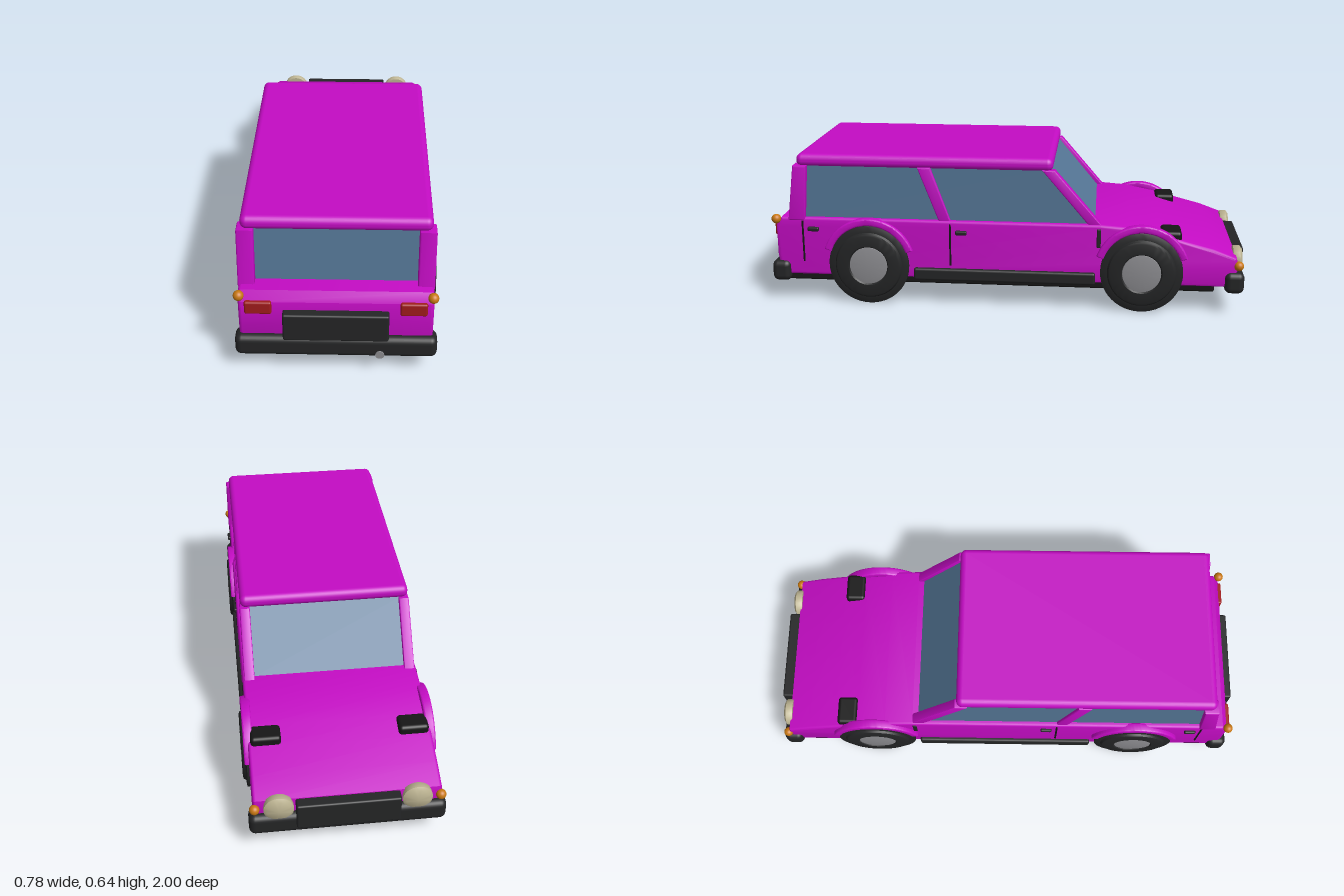
import * as THREE from 'three';
import { RoundedBoxGeometry } from 'three/addons/geometries/RoundedBoxGeometry.js';
import { toCreasedNormals } from 'three/addons/utils/BufferGeometryUtils.js';

const material = (color) => new THREE.MeshStandardMaterial({ color });
const points = (pairs) => pairs.map(([a, b]) => new THREE.Vector2(a, b));

export function createModel() {
  const car = new THREE.Group();
  car.name = 'car';
  const paint = material(0xc40cc4), black = material(0x242526), under = material(0x161616);
  const glass = material(0x557797), red = material(0xa01c1c), orange = material(0xc87812);
  const cream = material(0xbdb492), grey = material(0x8c8c90);

  function add(name, geometry, mat, x = 0, y = 0, z = 0) {
    const mesh = new THREE.Mesh(geometry, mat);
    mesh.name = name;
    mesh.position.set(x, y, z);
    car.add(mesh);
  }

  // Rounded box given by its lower and upper limits
  function block(name, mat, [x0, x1], [y0, y1], [z0, z1], radius = 0.008) {
    const geometry = new RoundedBoxGeometry(x1 - x0, y1 - y0, z1 - z0, 3, radius);
    add(name, geometry, mat, (x0 + x1) / 2, (y0 + y1) / 2, (z0 + z1) / 2);
  }

  // Side shape (z, y) extruded across x from x0 to x1 with softened edges
  function slab(name, mat, shape, x0, x1, bevel = 0.006) {
    const depth = x1 - x0 - 2 * bevel;
    const geometry = new THREE.ExtrudeGeometry(shape, {
      depth, bevelEnabled: bevel > 0, bevelSize: bevel, bevelOffset: -bevel,
      bevelThickness: bevel, bevelSegments: 3, curveSegments: 32,
    });
    geometry.translate(0, 0, -depth / 2);
    geometry.rotateY(-Math.PI / 2);
    add(name, toCreasedNormals(geometry, 0.6), mat, (x0 + x1) / 2);
  }

  const outline = (pairs) => new THREE.Shape(points(pairs));

  // Limits on the left (side 1) or mirrored to the right (side -1)
  const span = (side, a, b) => (side > 0 ? [a, b] : [-b, -a]);

  // Lower body with sloping hood
  slab('body', paint, outline([
    [0.95, 0.115], [0.965, 0.2], [0.965, 0.33], [0.94, 0.367], [-0.4, 0.367], [-0.52, 0.358],
    [-0.64, 0.335], [-0.74, 0.306], [-0.86, 0.275], [-0.955, 0.24], [-0.965, 0.2], [-0.94, 0.115],
  ]), -0.362, 0.362, 0.012);
  block('floor', under, [-0.355, 0.355], [0.09, 0.125], [-0.87, 0.97]);

  // Cabin
  const cabin = outline([[0.875, 0.355], [0.85, 0.595], [-0.185, 0.595], [-0.385, 0.355]]);
  slab('cabinGlass', glass, cabin, -0.342, 0.342, 0);
  block('roof', paint, [-0.352, 0.352], [0.582, 0.637], [-0.2, 0.87], 0.025);

  // Wheel cross-sections of [radius, distance along the axle]
  const tyreProfile = points([
    [0, -0.06], [0.132, -0.06], [0.14, -0.052], [0.14, 0.031], [0.168, 0.031], [0.17, 0.033], [0.17, 0.041],
    [0.166, 0.043], [0.142, 0.046], [0.136, 0.055], [0.128, 0.058], [0.085, 0.058], [0.08, 0.052], [0, 0.052],
  ]);
  const hubProfile = points([[0.081, 0.05], [0.079, 0.055], [0.06, 0.058], [0, 0.06]]);
  const lampProfile = points([[0, -0.02], [0.055, -0.02], [0.058, -0.016], [0.058, 0.008], [0.045, 0.017], [0, 0.024]]);

  for (const side of [1, -1]) {
    const prefix = side > 0 ? 'left' : 'right';

    // Window pillars
    const pillar = (name, pairs, a, b) => slab(prefix + name, paint, outline(pairs), ...span(side, a, b));
    pillar('RearPillar', [[0.91, 0.355], [0.88, 0.59], [0.822, 0.59], [0.84, 0.355]], 0.302, 0.365);
    pillar('MiddlePillar', [[0.27, 0.355], [0.36, 0.59], [0.305, 0.59], [0.22, 0.355]], 0.32, 0.354);
    pillar('FrontPillar', [[-0.355, 0.355], [-0.155, 0.59], [-0.207, 0.59], [-0.41, 0.355]], 0.312, 0.354);

    // Wheels and arches
    for (const [end, z] of [['Rear', 0.57], ['Front', -0.57]]) {
      const axle = new THREE.Group();
      axle.name = prefix + end + 'Wheel';
      axle.position.set(side * 0.33, 0.17, z);
      axle.rotation.z = -side * Math.PI / 2;
      for (const [name, profile, mat] of [['tyre', tyreProfile, black], ['hubcap', hubProfile, grey]]) {
        const mesh = new THREE.Mesh(toCreasedNormals(new THREE.LatheGeometry(profile, 48), 0.6), mat);
        mesh.name = name;
        axle.add(mesh);
      }
      car.add(axle);

      const arch = new THREE.Shape();
      arch.absarc(z, 0.175, 0.196, 0.32, Math.PI - 0.32, false);
      arch.absarc(z, 0.175, 0.166, Math.PI - 0.32, 0.32, true);
      slab(prefix + end + 'Arch', paint, arch, ...span(side, 0.342, 0.38));
    }

    // Sill, door seams and handles
    block(prefix + 'Sill', black, span(side, 0.33, 0.378), [0.11, 0.162], [-0.38, 0.38], 0.01);
    for (const z of [0.85, 0.225]) {
      block(prefix + 'DoorSeam', under, span(side, 0.355, 0.364), [0.175, 0.355], [z - 0.004, z + 0.004], 0.002);
      block(prefix + 'DoorHandle', black, span(side, 0.355, 0.374), [0.31, 0.328], [z - 0.07, z - 0.022], 0.006);
    }
    block(prefix + 'DoorHinge', black, span(side, 0.345, 0.366), [0.27, 0.35], [-0.4, -0.383], 0.004);

    // Hood vent
    block(prefix + 'HoodVent', under, span(side, 0.232, 0.352), [0.285, 0.343], [-0.73, -0.645], 0.015);

    // Lamps
    block(prefix + 'TailLamp', red, span(side, 0.237, 0.338), [0.28, 0.335], [0.95, 0.977]);
    const ball = new THREE.SphereGeometry(0.02, 24, 16);
    add(prefix + 'RearIndicator', ball, orange, side * 0.357, 0.358, 0.963);
    add(prefix + 'FrontIndicator', ball, orange, side * 0.357, 0.207, -0.965);
    const lamp = new THREE.LatheGeometry(lampProfile, 32).rotateX(-Math.PI / 2);
    add(prefix + 'Headlamp', toCreasedNormals(lamp, 0.7), cream, side * 0.265, 0.208, -0.967);
  }

  // Bumpers and plates
  block('rearBumper', black, [-0.38, 0.38], [0.086, 0.176], [0.91, 0.99], 0.025);
  block('frontBumper', black, [-0.38, 0.38], [0.09, 0.18], [-0.99, -0.91], 0.025);
  block('rearPlate', black, [-0.197, 0.197], [0.175, 0.295], [0.955, 1]);
  block('frontPlate', black, [-0.2, 0.2], [0.12, 0.237], [-1, -0.945]);

  // Underside parts
  block('fuelTank', black, [-0.12, 0.2], [0.074, 0.11], [0.22, 0.42]);
  block('silencer', black, [-0.15, -0.06], [0.066, 0.1], [0.01, 0.21]);
  block('engineGuard', under, [-0.14, 0.15], [0.07, 0.11], [-0.44, -0.34]);
  const pipe = new THREE.CylinderGeometry(0.017, 0.017, 0.2, 24).rotateX(Math.PI / 2);
  add('exhaustPipe', pipe, grey, 0.165, 0.105, 0.895);
  const muffler = new THREE.CylinderGeometry(0.03, 0.03, 0.16, 24).rotateX(Math.PI / 2);
  add('muffler', muffler, black, 0.165, 0.097, 0.78);

  return car;
}
